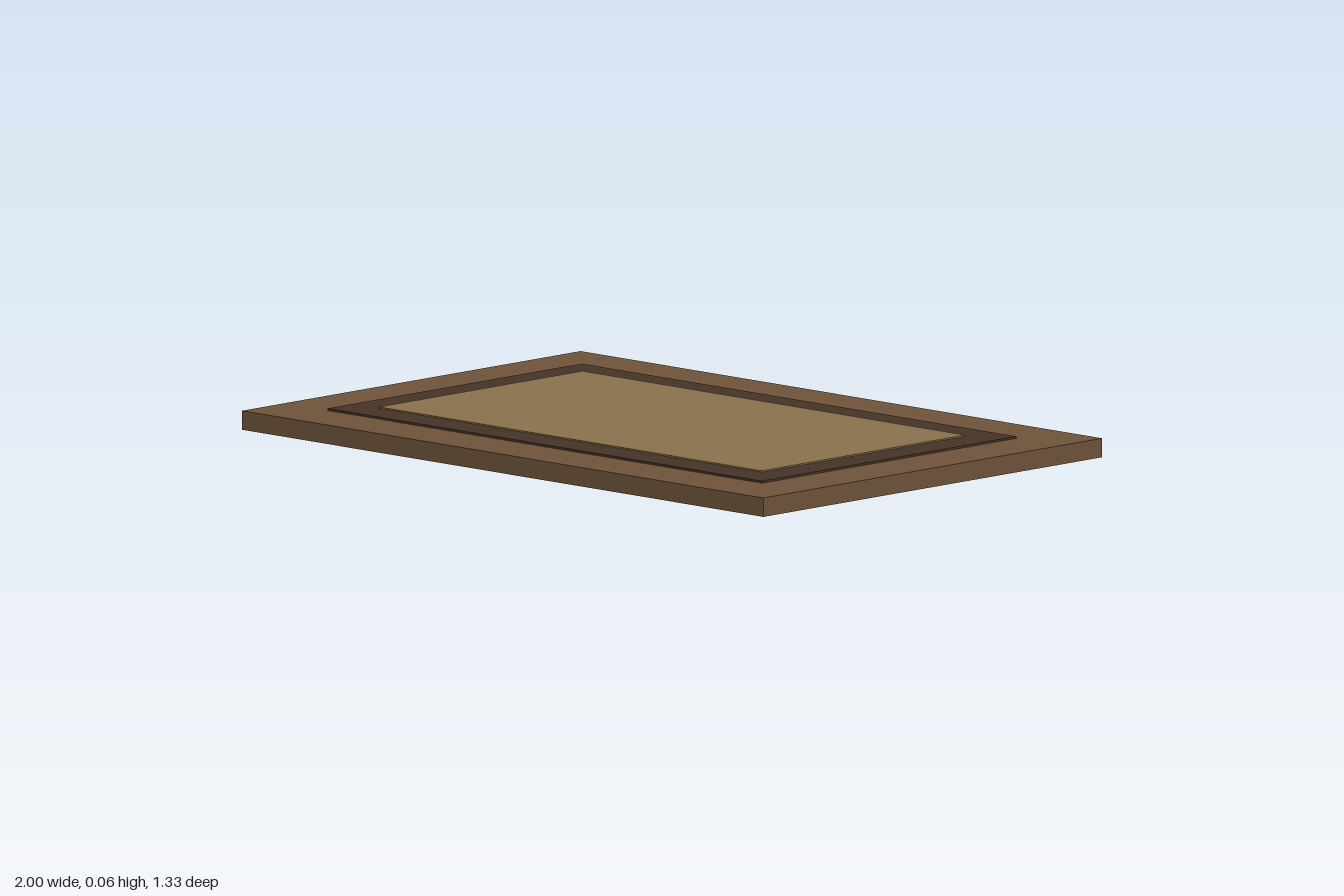
import * as THREE from 'three';

// One flat rectangular layer standing on height y
function slab(name, width, height, depth, y, color) {
  const mesh = new THREE.Mesh(
    new THREE.BoxGeometry(width, height, depth),
    new THREE.MeshStandardMaterial({ color })
  );
  mesh.name = name;
  mesh.position.y = y + height / 2;
  return mesh;
}

export function createModel() {
  const group = new THREE.Group();
  group.name = 'layeredRug';

  // Thick base, thin dark border, and a lighter centre panel stacked on top
  group.add(
    slab('base', 2, 0.053, 1.333, 0, 0x70543a),
    slab('darkBorder', 1.667, 0.006, 1, 0.053, 0x463426),
    slab('centrePanel', 1.467, 0.004, 0.8, 0.059, 0x8b734e)
  );
  return group;
}
